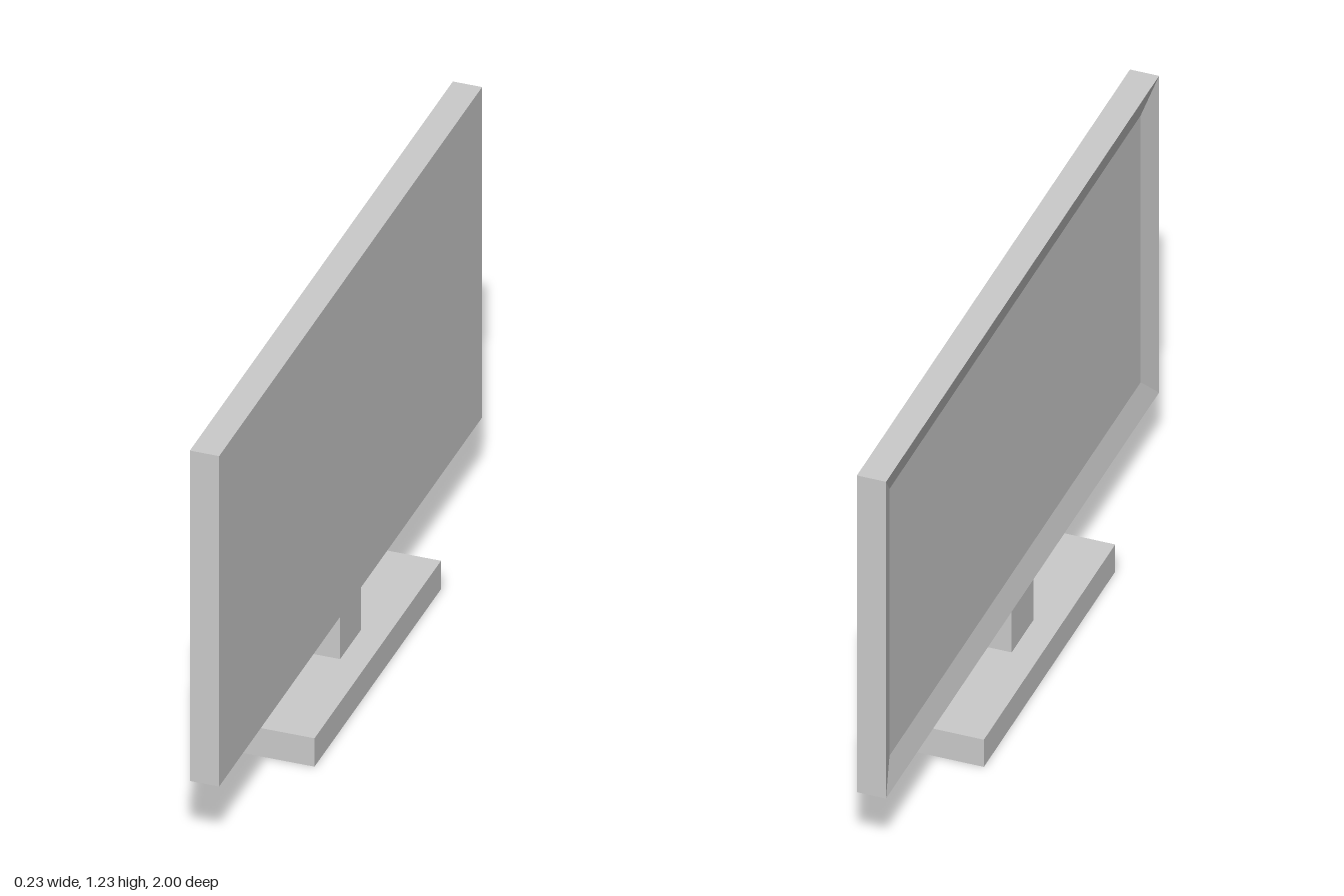
import * as THREE from 'three';

const material = new THREE.MeshStandardMaterial({ color: 0xcccccc, flatShading: true });

// A box given by its width, depth and the heights of its bottom and top
function block(name, width, depth, bottom, top) {
  const mesh = new THREE.Mesh(new THREE.BoxGeometry(width, top - bottom, depth), material);
  mesh.position.y = (bottom + top) / 2;
  mesh.name = name;
  return mesh;
}

// Joins rectangular loops [x, halfHeight, halfDepth], running from +x to -x, and caps both ends
function rectangularLoft(loops) {
  const rings = loops.map(([x, h, d]) => [[x, -h, -d], [x, -h, d], [x, h, d], [x, h, -d]]);
  const points = [];
  const quad = (a, b, c, d) => points.push(...a, ...b, ...c, ...a, ...c, ...d);
  const first = rings[0];
  const last = rings[rings.length - 1];
  quad(first[0], first[3], first[2], first[1]);
  for (let r = 0; r < rings.length - 1; r++) {
    for (let i = 0; i < 4; i++) {
      const j = (i + 1) % 4;
      quad(rings[r][i], rings[r][j], rings[r + 1][j], rings[r + 1][i]);
    }
  }
  quad(...last);
  const geometry = new THREE.BufferGeometry();
  geometry.setAttribute('position', new THREE.Float32BufferAttribute(points, 3));
  geometry.computeVertexNormals();
  return geometry;
}

export function createModel() {
  const model = new THREE.Group();
  model.name = 'flatScreen';

  const baseTop = 0.087, panelBottom = 0.217, panelTop = 1.231;
  const halfThickness = 0.041, halfHeight = (panelTop - panelBottom) / 2;
  const bezel = 0.08, recess = 0.021;

  // Panel with a plain back and a screen sunk behind a sloping bezel on the -x side
  const panel = new THREE.Mesh(rectangularLoft([
    [halfThickness, halfHeight, 1],
    [-halfThickness, halfHeight, 1],
    [-halfThickness + recess, halfHeight - bezel, 1 - bezel],
  ]), material);
  panel.position.y = (panelBottom + panelTop) / 2;
  panel.name = 'screenPanel';

  // Stand
  model.add(
    panel,
    block('neck', halfThickness * 2, 0.16, baseTop, panelBottom),
    block('base', 0.234, 0.962, 0, baseTop),
  );
  return model;
}
